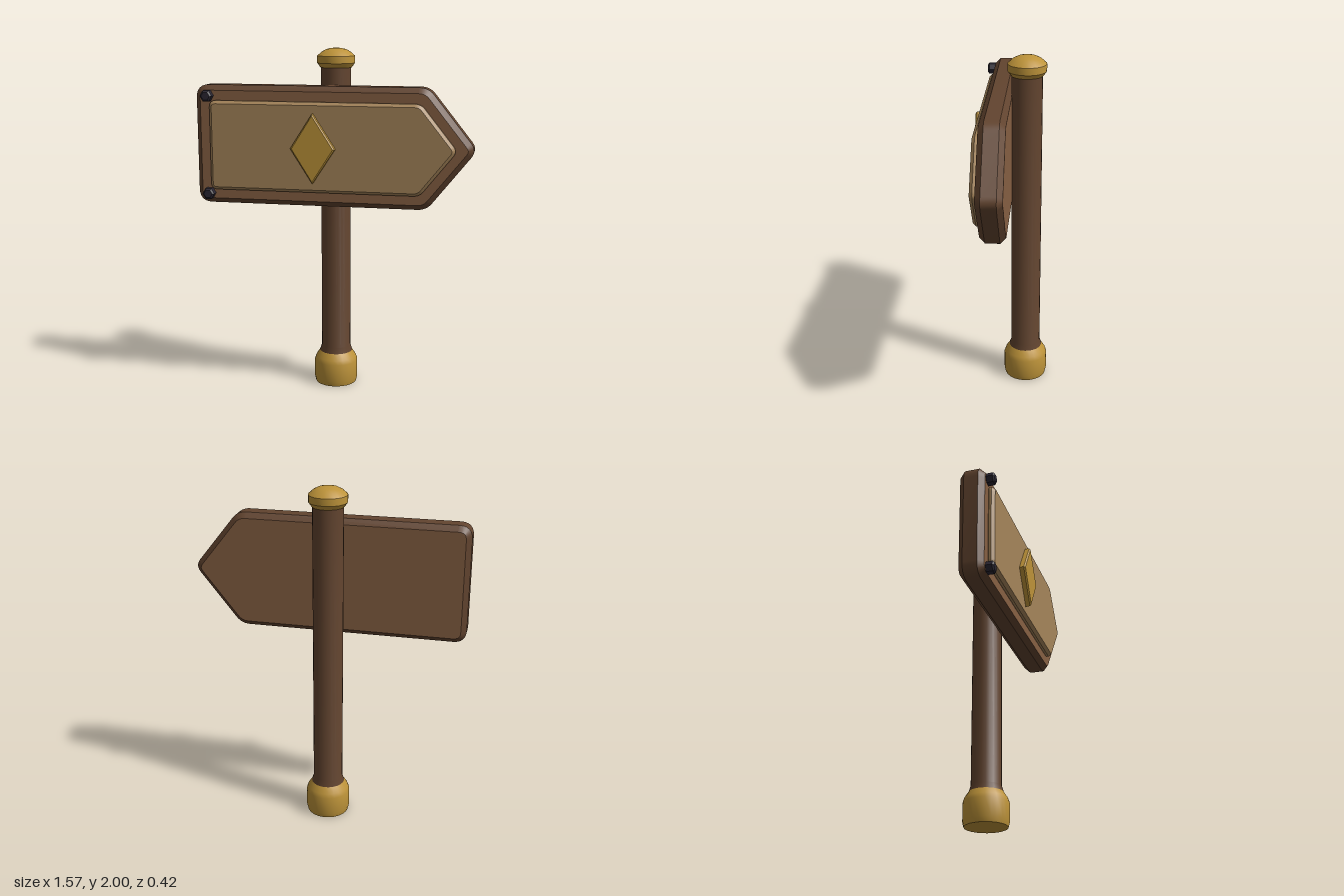
import * as THREE from 'three';
import { toCreasedNormals } from 'three/addons/utils/BufferGeometryUtils.js';

function material(name, color) {
  const m = new THREE.MeshStandardMaterial({ color });
  m.name = name;
  return m;
}

// Closed polygon with softened corners; each point is [x, y, cut]
function roundedShape(points) {
  const shape = new THREE.Shape();
  const n = points.length;
  points.forEach(([x, y, cut], i) => {
    const p = new THREE.Vector2(x, y);
    const toward = ([qx, qy]) => {
      const q = new THREE.Vector2(qx, qy);
      return q.sub(p).setLength(cut).add(p);
    };
    const a = toward(points[(i + n - 1) % n]);
    const b = toward(points[(i + 1) % n]);
    if (i === 0) shape.moveTo(a.x, a.y);
    else shape.lineTo(a.x, a.y);
    if (cut > 0) shape.quadraticCurveTo(x, y, b.x, b.y);
  });
  shape.closePath();
  return shape;
}

// Arrow outline pointing to +x
function arrow(left, shoulder, tip, bottom, top, cut, tipCut) {
  return roundedShape([
    [left, bottom, cut], [shoulder, bottom, tipCut], [tip, (bottom + top) / 2, tipCut],
    [shoulder, top, tipCut], [left, top, cut],
  ]);
}

// Bevelled slab that fills z0..z1 and stays inside the outline
function slab(name, shape, z0, z1, bevel, mats) {
  const geo = new THREE.ExtrudeGeometry(shape, {
    depth: z1 - z0 - 2 * bevel, bevelEnabled: true, bevelSize: bevel,
    bevelThickness: bevel, bevelOffset: -bevel, bevelSegments: 1, curveSegments: 6,
  });
  geo.translate(0, 0, z0 + bevel);
  const mesh = new THREE.Mesh(toCreasedNormals(geo, 0.5), mats);
  mesh.name = name;
  return mesh;
}

// Turned part on the post axis; profile points are [radius, y]
function turned(name, profile, mat, segments = 24) {
  const geo = new THREE.LatheGeometry(profile.map(([r, y]) => new THREE.Vector2(r, y)), segments);
  const mesh = new THREE.Mesh(toCreasedNormals(geo, 0.5), mat);
  mesh.name = name;
  return mesh;
}

export function createModel() {
  const darkWood = material('dark wood', 0x62442f);
  const wood = material('wood', 0x876043);
  const paleWood = material('pale wood', 0xa6855a);
  const gold = material('gold', 0xbd9339);
  const iron = material('dark iron', 0x2a2632);

  const model = new THREE.Group();
  model.name = 'signpost';

  // Post with its foot and cap
  const post = new THREE.Group();
  post.name = 'post';
  post.position.set(-0.02, 0, -0.081);
  post.add(
    turned('postShaft', [[0.1, 0.17], [0.097, 0.195], [0.086, 0.23], [0.086, 1.91]], darkWood),
    turned('postFoot', [[0, 0], [0.122, 0], [0.129, 0.03], [0.129, 0.135], [0.12, 0.16], [0.097, 0.195], [0, 0.195]], gold),
    turned('postCap', [[0, 1.89], [0.09, 1.89], [0.108, 1.915], [0.108, 1.955], [0.082, 1.978], [0.055, 1.992], [0.028, 1.998], [0, 2]], gold),
  );
  model.add(post);

  // Arrow board with darker edges, and the raised panel on it
  model.add(
    slab('arrowBoard', arrow(-0.79, 0.53, 0.8, 1.12, 1.797, 0.075, 0.05), 0.002, 0.143, 0.03, [wood, darkWood]),
    slab('raisedPanel', arrow(-0.702, 0.495, 0.697, 1.205, 1.712, 0.04, 0.035), 0.13, 0.178, 0.017, paleWood),
  );

  // Diamond ornament
  const diamond = roundedShape([[-0.1, 1.262, 0], [0.027, 1.457, 0], [-0.1, 1.652, 0], [-0.225, 1.457, 0]]);
  model.add(slab('diamond', diamond, 0.165, 0.212, 0.008, gold));

  // Hexagonal bolts at the left corners
  for (const [name, y] of [['upperBolt', 1.737], ['lowerBolt', 1.18]]) {
    const hex = roundedShape(Array.from({ length: 6 }, (_, i) => {
      const a = (i * Math.PI) / 3;
      return [-0.715 + 0.035 * Math.cos(a), y + 0.035 * Math.sin(a), 0];
    }));
    model.add(slab(name, hex, 0.135, 0.19, 0.009, iron));
  }
  return model;
}
